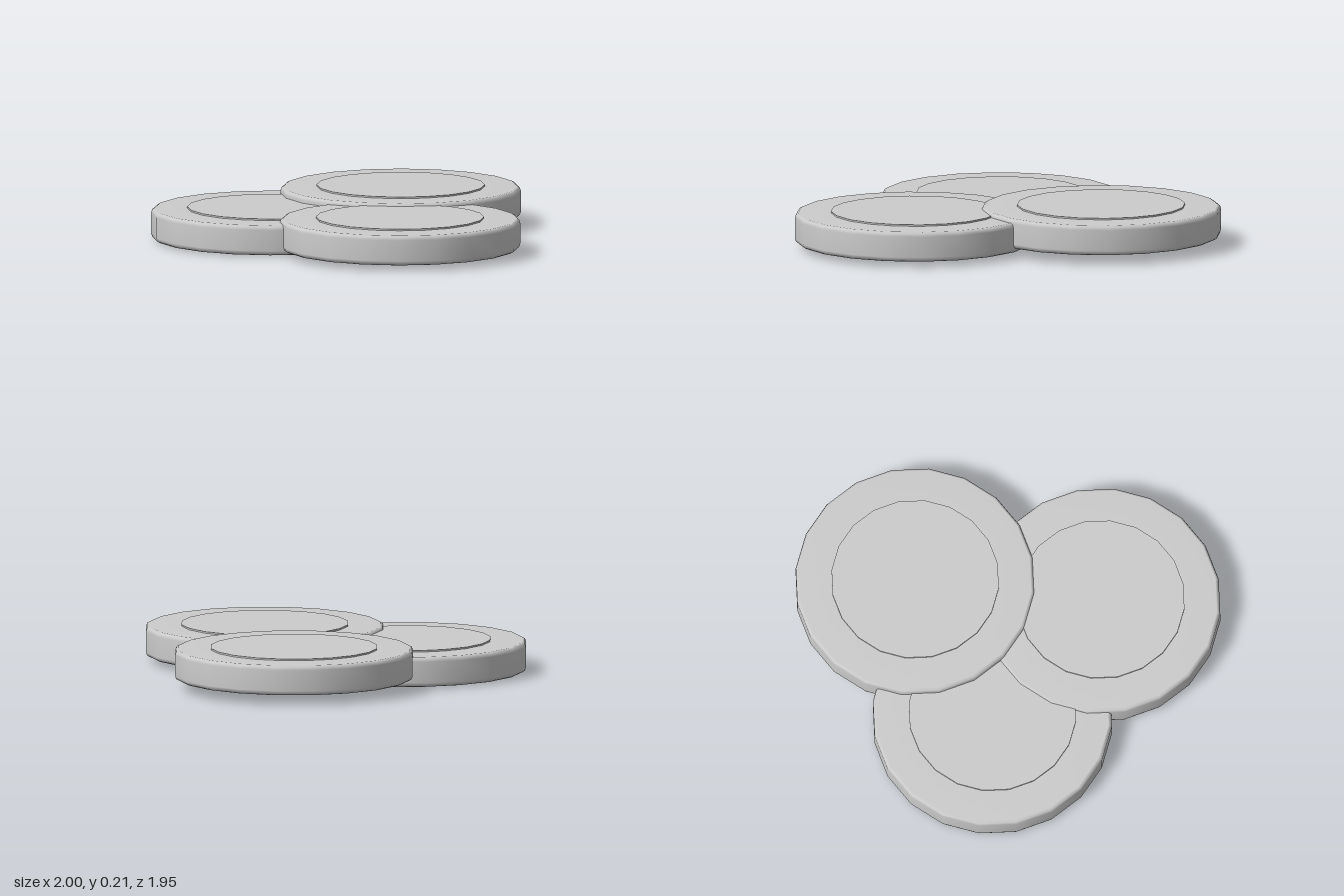
import * as THREE from 'three';

const SIDES = 20;

export function createModel() {
  const model = new THREE.Group();
  const grey = new THREE.MeshStandardMaterial({ color: 0xcccccc });
  grey.name = 'light grey';

  // Rounded rim, from the underside out and up to the top face
  const profile = [
    [0.415, -0.075], [0.583, -0.075], [0.595, -0.068], [0.6, -0.052],
    [0.6, 0.052], [0.595, 0.068], [0.583, 0.075], [0.415, 0.075],
  ].map(([r, y]) => new THREE.Vector2(r, y));
  const rimGeometry = new THREE.LatheGeometry(profile, SIDES);

  // Slightly raised centre on both faces
  const centreGeometry = new THREE.CylinderGeometry(0.42, 0.42, 0.166, SIDES);

  const addDisc = (name, x, y, z) => {
    const disc = new THREE.Group();
    disc.name = name;
    const rim = new THREE.Mesh(rimGeometry, grey);
    rim.name = 'rim';
    const centre = new THREE.Mesh(centreGeometry, grey);
    centre.name = 'raisedCentre';
    disc.add(rim, centre);
    disc.position.set(x, y, z);
    model.add(disc);
  };

  // Three overlapping discs, each a little higher than the last
  addDisc('lowerDisc', -0.4, 0.083, 0.375);
  addDisc('middleDisc', 0.4, 0.104, 0.375);
  addDisc('upperDisc', -0.153, 0.125, -0.375);

  return model;
}
